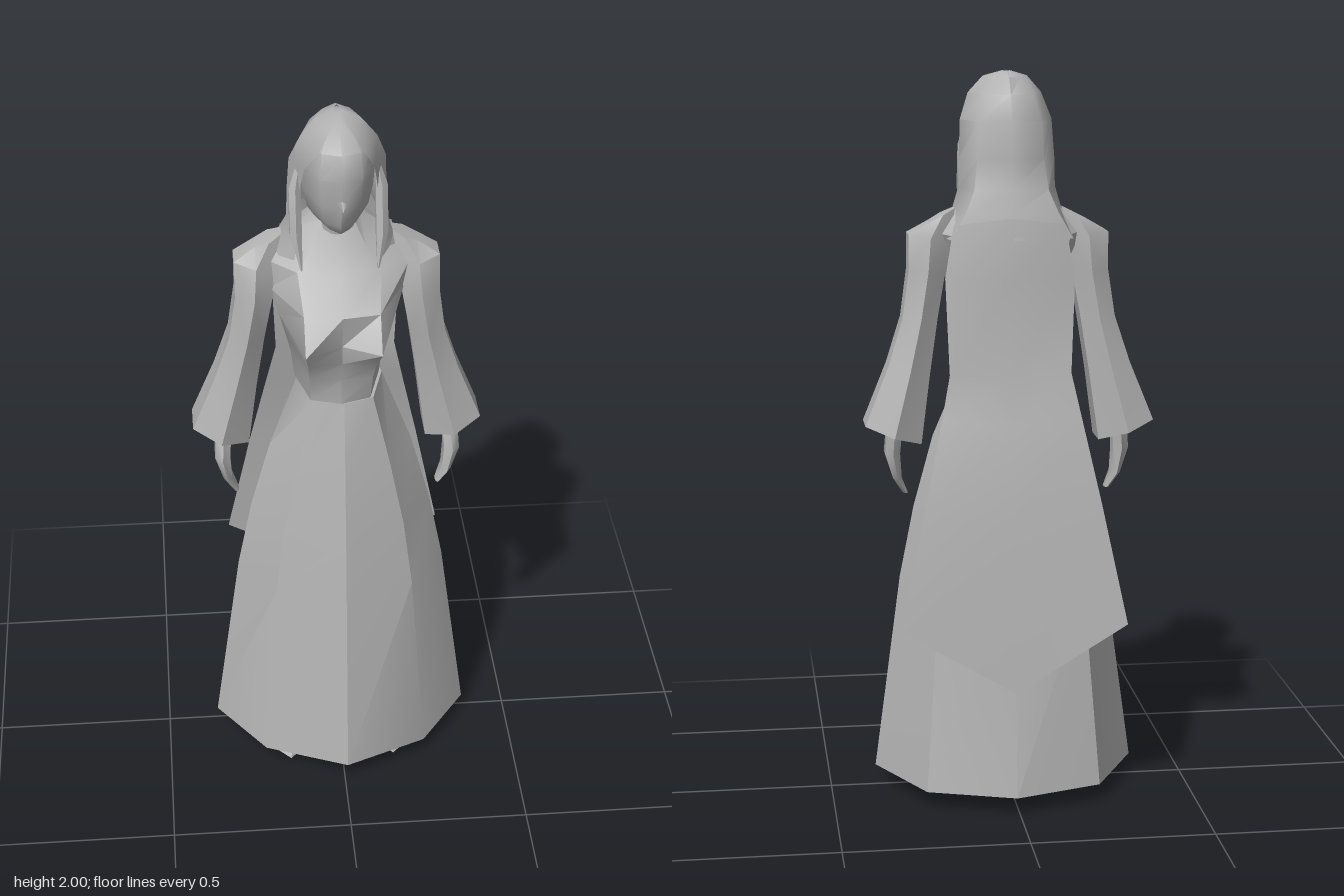
import * as THREE from 'three';
import { toCreasedNormals } from 'three/addons/utils/BufferGeometryUtils.js';

const grey = new THREE.MeshStandardMaterial({ color: 0xb4b4b4, side: THREE.DoubleSide });
grey.name = 'stone grey';

// Skin a stack of rings (bottom to top); closed joins the ends, caps fills them.
function loft(rings, closed = true, caps = true, crease = 0.6) {
  const n = rings[0].length, pos = rings.flat(2), idx = [];
  for (let r = 0; r < rings.length - 1; r++) {
    for (let i = 0; i < (closed ? n : n - 1); i++) {
      const j = (i + 1) % n, a = r * n + i, b = r * n + j;
      idx.push(a, b, b + n, a, b + n, a + n);
    }
  }
  if (caps && closed) {
    const t = (rings.length - 1) * n;
    for (let i = 1; i < n - 1; i++) idx.push(0, i + 1, i, t, t + i, t + i + 1);
  }
  const g = new THREE.BufferGeometry();
  g.setAttribute('position', new THREE.Float32BufferAttribute(pos, 3));
  g.setIndex(idx);
  return toCreasedNormals(g, crease);
}

// Symmetric eight-point ring: front, front corner, side, back corner, back.
function bodyRing([y, zf, dx, dz, sx, sz, bx, bz, zb]) {
  return [[0, y, zf], [dx, y, dz], [sx, y, sz], [bx, y, bz], [0, y, zb],
    [-bx, y, bz], [-sx, y, sz], [-dx, y, dz]];
}

// Six-point ring for limbs; slope lifts the outer side.
function limbRing([x, y, z, rx, rz, slope = 0]) {
  return Array.from({ length: 6 }, (_, i) => {
    const c = Math.sin(i * Math.PI / 3), s = Math.cos(i * Math.PI / 3);
    return [x + rx * c, y + slope * c, z + rz * s];
  });
}

export function createModel() {
  const model = new THREE.Group();
  function add(name, geometry, parent = model) {
    const m = new THREE.Mesh(geometry, grey);
    m.name = name;
    parent.add(m);
    return m;
  }

  // Long skirt
  add('skirt', loft([
    [0.05, 0.305, 0.23, 0.21, 0.365, 0.02, 0.24, -0.22, -0.30],
    [0.60, 0.245, 0.19, 0.175, 0.29, 0.03, 0.20, -0.17, -0.22],
    [0.80, 0.22, 0.165, 0.16, 0.25, 0.03, 0.17, -0.16, -0.20],
    [1.00, 0.19, 0.125, 0.15, 0.195, 0.03, 0.14, -0.15, -0.17],
    [1.20, 0.155, 0.08, 0.13, 0.115, 0, 0.085, -0.12, -0.14],
  ].map(bodyRing))).position.x = 0.008;

  // Fitted bodice, rising to the neck
  add('bodice', loft([
    [1.20, 0.155, 0.08, 0.13, 0.115, 0, 0.085, -0.12, -0.14],
    [1.28, 0.16, 0.085, 0.15, 0.125, 0, 0.09, -0.12, -0.145],
    [1.34, 0.18, 0.09, 0.19, 0.14, 0, 0.10, -0.12, -0.15],
    [1.40, 0.19, 0.10, 0.245, 0.155, 0.01, 0.12, -0.12, -0.155],
    [1.49, 0.20, 0.10, 0.185, 0.18, 0.02, 0.14, -0.12, -0.155],
    [1.57, 0.12, 0.11, 0.09, 0.21, -0.01, 0.16, -0.11, -0.15],
    [1.63, 0.08, 0.07, 0.06, 0.15, -0.02, 0.11, -0.10, -0.13],
    [1.70, 0.05, 0.04, 0.04, 0.06, -0.01, 0.05, -0.06, -0.08],
  ].map(bodyRing)));

  // Face and skull
  add('head', loft([
    [1.64, 0.06, 0.035, 0.05, 0.055, 0, 0.04, -0.06, -0.07],
    [1.69, 0.07, 0.04, 0.05, 0.055, 0, 0.04, -0.06, -0.07],
    [1.705, 0.135, 0.025, 0.11, 0.06, 0.03, 0.05, -0.06, -0.08],
    [1.735, 0.155, 0.04, 0.125, 0.08, 0.03, 0.06, -0.06, -0.08],
    [1.79, 0.162, 0.05, 0.14, 0.092, 0.03, 0.07, -0.06, -0.08],
    [1.87, 0.17, 0.055, 0.153, 0.095, 0.05, 0.07, -0.07, -0.09],
    [1.94, 0.163, 0.05, 0.145, 0.09, 0.05, 0.06, -0.05, -0.07],
    [1.98, 0.10, 0.03, 0.09, 0.055, 0.03, 0.03, -0.02, -0.035],
    [1.995, 0.03, 0.01, 0.025, 0.015, 0.01, 0.01, -0.005, -0.01],
  ].map(bodyRing), true, true, 0.9));
  const nose = add('nose', new THREE.ConeGeometry(0.022, 0.06, 4));
  nose.scale.z = 0.8;
  nose.rotation.x = 1.75;
  nose.position.set(0, 1.803, 0.166);

  // Hair wraps the sides and back, open around the face
  const hairRows = [
    [1.56, 0.12, 0.06, 0.185, 0, 0.165, -0.12, -0.16],
    [1.63, 0.11, 0.06, 0.15, 0, 0.125, -0.12, -0.145],
    [1.69, 0.105, 0.06, 0.132, 0, 0.10, -0.105, -0.13],
    [1.77, 0.105, 0.05, 0.13, 0, 0.09, -0.085, -0.115],
    [1.87, 0.09, 0.09, 0.125, 0.02, 0.085, -0.085, -0.12],
    [1.94, 0.06, 0.15, 0.10, 0.05, 0.065, -0.055, -0.09],
    [1.985, 0.025, 0.11, 0.06, 0.04, 0.035, -0.02, -0.05],
    [2.0, 0, 0.05, 0.01, 0.02, 0.005, 0, -0.01],
  ];
  add('hair', loft(hairRows.map(([y, ex, ez, sx, sz, bx, bz, zb]) => [
    [ex, y, ez], [sx, y, sz], [bx, y, bz], [0, y, zb],
    [-bx, y, bz], [-sx, y, sz], [-ex, y, ez]]), false, false, 0.9));

  // Back cape with a pointed lower edge
  const capeRows = [
    [0.52, 0.34, 0.308, -0.257, -0.275],
    [0.85, 0.80, 0.24, -0.22, -0.235],
    [1.08, 1.06, 0.19, -0.18, -0.20],
    [1.20, 1.20, 0.165, -0.15, -0.165],
    [1.46, 1.46, 0.175, -0.14, -0.17],
    [1.60, 1.62, 0.15, -0.125, -0.155],
  ];
  add('cape', loft(capeRows.map(([ye, yc, x, ze, zc]) =>
    [[x, ye, ze], [0, yc, zc], [-x, ye, ze]]), false, false)).position.x = 0.008;

  // Mirrored arms, hair locks and shoes
  for (const side of [1, -1]) {
    const half = new THREE.Group();
    half.name = side > 0 ? 'leftSide' : 'rightSide';
    half.scale.x = side;
    model.add(half);

    add('sleeve', loft([
      [0.32, 1.025, -0.03, 0.088, 0.10, 0.03],
      [0.275, 1.20, -0.025, 0.065, 0.085, 0.015],
      [0.243, 1.34, -0.015, 0.055, 0.078],
      [0.222, 1.47, -0.005, 0.058, 0.08],
      [0.215, 1.56, -0.015, 0.066, 0.068, 0.01],
      [0.18, 1.62, -0.02, 0.04, 0.04, -0.02],
    ].map(limbRing)), half);

    add('hand', loft([
      [0.282, 0.845, 0.015, 0.008, 0.02],
      [0.305, 0.89, 0.01, 0.014, 0.042],
      [0.318, 0.96, 0.01, 0.024, 0.048],
      [0.312, 1.04, -0.01, 0.025, 0.03],
    ].map(limbRing)), half);

    add('hairLock', loft([
      [0.10, 1.585, 0.105, 0.003, 0.004],
      [0.112, 1.68, 0.07, 0.018, 0.03],
      [0.112, 1.80, 0.04, 0.018, 0.03],
      [0.10, 1.87, 0.04, 0.006, 0.01],
    ].map(limbRing)), half);

    add('shoe', loft([
      [0.15, 0, 0.045, 0.085, 0.16],
      [0.14, 0.035, 0.03, 0.07, 0.14],
      [0.13, 0.07, 0.0, 0.05, 0.08],
    ].map(limbRing)), half);
  }
  return model;
}
